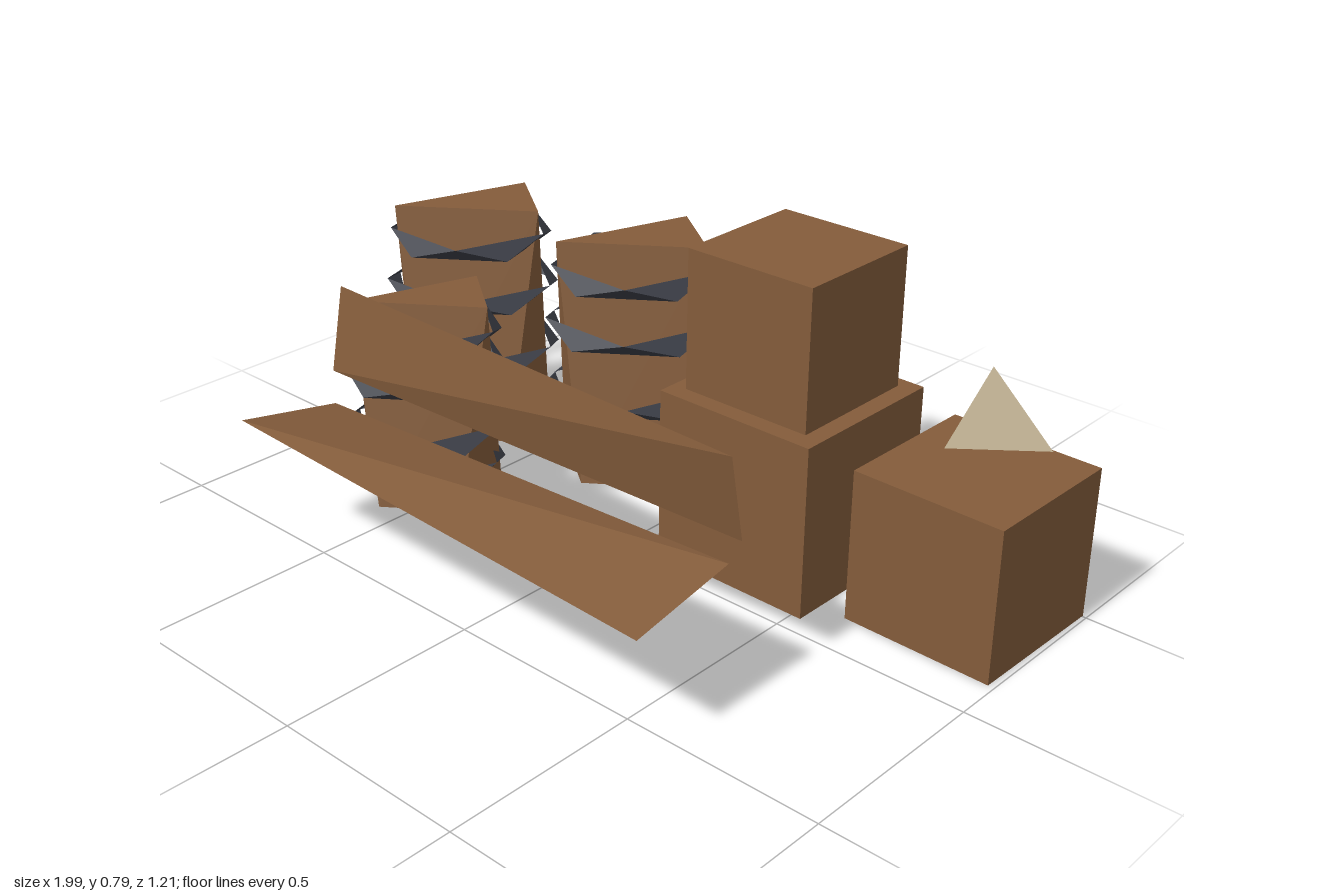
import * as THREE from 'three';
import { ConvexGeometry } from 'three/addons/geometries/ConvexGeometry.js';

const V = (x, y, z) => new THREE.Vector3(x, y, z);

// Five points around the y axis, one of them at +z (dir 1) or -z (dir -1)
function pentagon(r, y, dir) {
  return Array.from({ length: 5 }, (_, i) => {
    const a = (i * 2 * Math.PI) / 5;
    return V(r * Math.sin(a) * dir, y, r * Math.cos(a) * dir);
  });
}

// Open zigzag band between two opposed pentagons
function hoopGeometry(r, y0, y1) {
  const low = pentagon(r, y0, 1);
  const high = pentagon(r, y1, -1);
  const points = [];
  for (let i = 0; i < 5; i++) {
    const next = (i + 1) % 5;
    const above = high[(i + 3) % 5]; // sits over the middle of this lower edge
    const aboveNext = high[(i + 4) % 5];
    points.push(low[i], low[next], above, low[next], aboveNext, above);
  }
  const geometry = new THREE.BufferGeometry().setFromPoints(points);
  geometry.computeVertexNormals();
  return geometry;
}

export function createModel() {
  const group = new THREE.Group();
  const wood = new THREE.MeshStandardMaterial({ color: 0x845c3b, flatShading: true });
  wood.name = 'brownWood';
  const iron = new THREE.MeshStandardMaterial({ color: 0x3a3d46, flatShading: true, side: THREE.DoubleSide });
  iron.name = 'darkIron';
  const stone = new THREE.MeshStandardMaterial({ color: 0xb3a382, flatShading: true });
  stone.name = 'paleStone';

  const add = (parent, name, geometry, material) => {
    const mesh = new THREE.Mesh(geometry, material);
    mesh.name = name;
    parent.add(mesh);
    return mesh;
  };

  // Barrels: five-sided base, three-cornered lid, four hoops
  function barrel(name, x, z, scale, height, hoopYs) {
    const b = new THREE.Group();
    b.name = name;
    b.position.set(x, 0, z);
    const lid = pentagon(0.2 * scale, height, -1);
    // The lid corners: back, back left and front right
    const corners = [lid[0], lid[4], lid[2]].sort((p, q) => p.z - q.z);
    add(b, 'barrelBody', new ConvexGeometry([...pentagon(0.2 * scale, 0.01, 1), ...corners]), wood);
    hoopYs.forEach((y, i) => {
      const r = (i === 0 || i === 3 ? 0.214 : 0.23) * scale;
      add(b, 'barrelHoop', hoopGeometry(r, y - 0.02, y + 0.02), iron);
    });
    group.add(b);
  }
  const tallHoops = [0.092, 0.235, 0.412, 0.555];
  barrel('rightBarrel', -0.78, -0.275, 1, 0.635, tallHoops);
  barrel('middleBarrel', -0.285, -0.375, 1, 0.635, tallHoops);
  barrel('smallBarrel', -0.57, 0.085, 0.9, 0.532, [0.09, 0.197, 0.345, 0.45]);

  // Crates
  function crate(name, size, height, x, y, z, turn) {
    const m = add(group, name, new THREE.BoxGeometry(size, height, size), wood);
    m.position.set(x, y + height / 2, z);
    m.rotation.y = turn;
  }
  crate('largeCrate', 0.434, 0.435, 0.31, 0.005, -0.27, -0.005);
  crate('topCrate', 0.35, 0.35, 0.305, 0.44, -0.275, 0);
  crate('sideCrate', 0.385, 0.38, 0.798, 0.01, -0.307, -0.015);

  // Planks: slim wedges using alternate corners of a box
  const x0 = -0.635, x1 = 0.62;
  add(group, 'uprightPlank', new ConvexGeometry([
    V(x0, 0.39, 0.328), V(x1, 0.6, 0.328), V(x0, 0.6, 0.287), V(x1, 0.39, 0.287),
  ]), wood);
  add(group, 'flatPlank', new ConvexGeometry([
    V(x0, 0.355, 0.605), V(x1, 0.355, 0.328), V(x0, 0.302, 0.328), V(x1, 0.302, 0.605),
  ]), wood);

  // Small pointed stone over the side crate
  add(group, 'pointedStone', new ConvexGeometry([
    V(0.84, 0.515, -0.387), V(0.99, 0.513, -0.275), V(0.817, 0.515, -0.13), V(0.835, 0.663, -0.267),
  ]), stone);

  return group;
}
